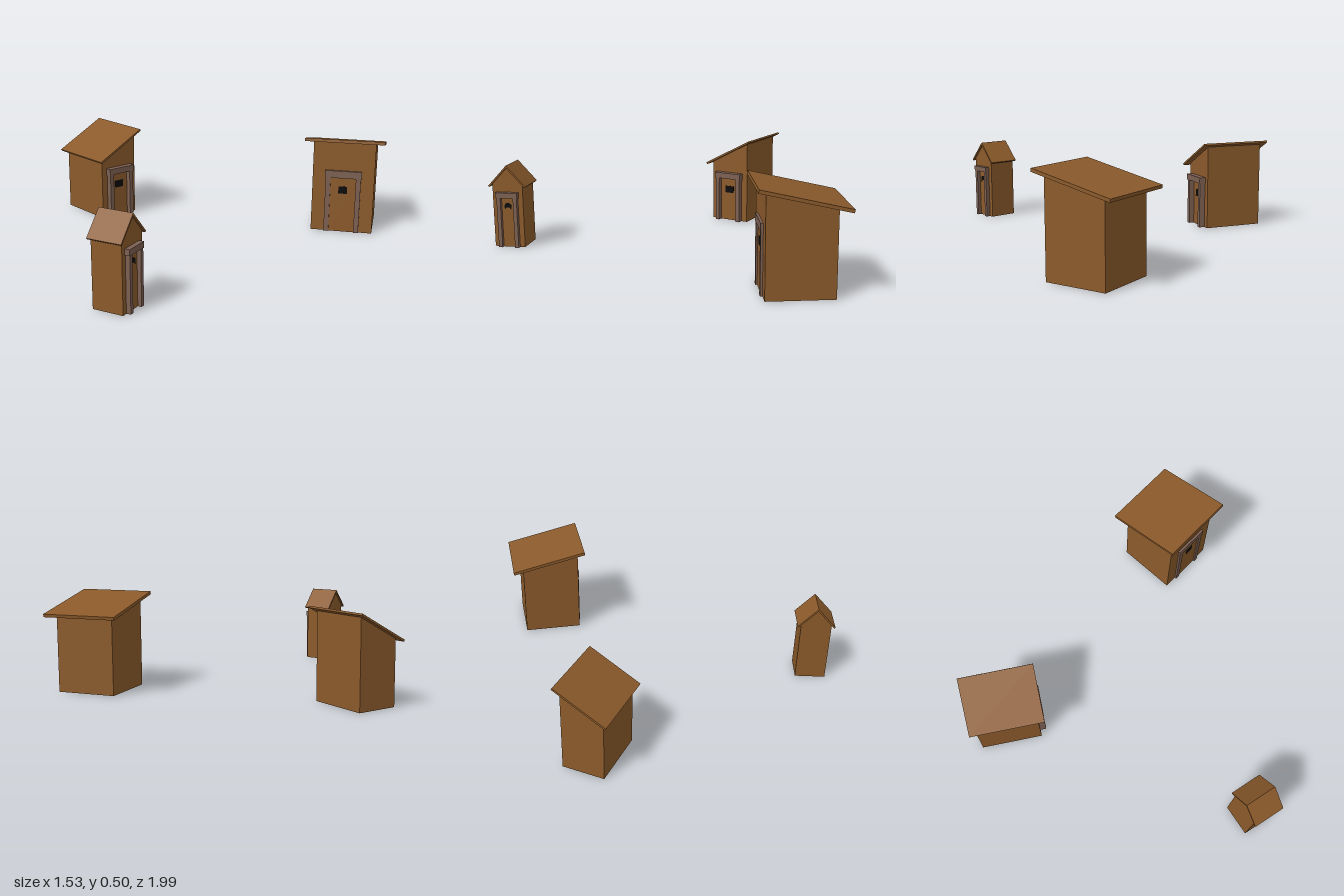
import * as THREE from 'three';

const material = (color) => new THREE.MeshStandardMaterial({ color, flatShading: true });
const wood = material(0x8b5a2b);
const trim = material(0x7d6052);
const dark = material(0x0a0a0a);

function addMesh(parent, name, geometry, mat) {
  const mesh = new THREE.Mesh(geometry, mat);
  mesh.name = name;
  parent.add(mesh);
  return mesh;
}

// Outline in x/y, extruded and centred along z
function slab(points, depth) {
  const shape = new THREE.Shape(points.map(([x, y]) => new THREE.Vector2(x, y)));
  return new THREE.ExtrudeGeometry(shape, { depth, bevelEnabled: false }).translate(0, 0, -depth / 2);
}

// Crescent with its tips pointing down
function crescent(w, h) {
  const s = new THREE.Shape();
  s.moveTo(-w / 2, -h / 2);
  s.lineTo(-w / 2, h * 0.15);
  s.quadraticCurveTo(-w * 0.4, h / 2, 0, h / 2);
  s.quadraticCurveTo(w * 0.4, h / 2, w / 2, h * 0.15);
  s.lineTo(w / 2, -h / 2);
  s.quadraticCurveTo(0, h * 0.25, -w / 2, -h / 2);
  return new THREE.ExtrudeGeometry(s, { depth: 0.004, bevelEnabled: false, curveSegments: 5 }).translate(0, 0, -0.002);
}

// Door, window, two jambs and a lintel on the wall at z = front
function addDoorway(hut, { front, width, height, lintel, jamb, out, window }) {
  const doorway = new THREE.Group();
  doorway.name = 'doorway';
  doorway.position.z = front;
  hut.add(doorway);
  const open = height - lintel;
  const box = (name, w, h, d, x, y, mat) =>
    addMesh(doorway, name, new THREE.BoxGeometry(w, h, d), mat).position.set(x, y, d / 2);
  box('door', width - 2 * jamb, open, 0.003, 0, open / 2, wood);
  for (const side of [-1, 1]) {
    box('doorJamb', jamb, open, out * 0.9, side * (width / 2 - jamb / 2 - 0.004), open / 2, trim);
  }
  box('lintel', width, lintel, out, 0, open + lintel / 2, trim);
  const hole = window.moon ? crescent(window.w, window.h) : new THREE.BoxGeometry(window.w, window.h, 0.004);
  addMesh(doorway, 'window', hole, dark).position.set(0, window.y, 0.003);
}

function createHut({ name, x, z, turn, wall, wallDepth, roof, roofDepth, alongZ, door }) {
  const hut = new THREE.Group();
  hut.name = name;
  hut.position.set(x, 0, z);
  hut.rotation.y = THREE.MathUtils.degToRad(turn);
  const walls = addMesh(hut, 'walls', slab(wall, wallDepth), wood);
  const cover = addMesh(hut, 'roof', slab(roof, roofDepth), wood);
  // Section runs front to back instead of side to side
  if (alongZ) for (const m of [walls, cover]) m.rotation.y = -Math.PI / 2;
  addDoorway(hut, door);
  return hut;
}

export function createModel() {
  const group = new THREE.Group();
  group.name = 'threeHuts';

  group.add(
    // Roof slopes sideways
    createHut({
      name: 'sideSlopeHut', x: -0.578, z: 0.129, turn: 90,
      wall: [[-0.11, 0], [0.11, 0], [0.11, 0.452], [-0.11, 0.335]], wallDepth: 0.32,
      roof: [[-0.133, 0.319], [0.134, 0.462], [0.13, 0.471], [-0.138, 0.328]], roofDepth: 0.385,
      door: { front: 0.16, width: 0.161, height: 0.278, lintel: 0.032, jamb: 0.023, out: 0.034,
        window: { w: 0.053, h: 0.038, y: 0.179 } },
    }),
    // Roof slopes down to the back
    createHut({
      name: 'backSlopeHut', x: 0.485, z: -0.709, turn: 35, alongZ: true,
      wall: [[-0.157, 0], [0.157, 0], [0.157, 0.477], [-0.157, 0.406]], wallDepth: 0.316,
      roof: [[-0.211, 0.394], [0.195, 0.486], [0.192, 0.502], [-0.214, 0.41]], roofDepth: 0.402,
      door: { front: 0.157, width: 0.188, height: 0.33, lintel: 0.038, jamb: 0.025, out: 0.012,
        window: { w: 0.045, h: 0.038, y: 0.227 } },
    }),
    // Small gabled hut
    createHut({
      name: 'gableHut', x: 0.562, z: 0.871, turn: 111,
      wall: [[-0.08, 0], [0.08, 0], [0.08, 0.33], [0, 0.416], [-0.08, 0.33]], wallDepth: 0.15,
      roof: [[-0.093, 0.315], [0, 0.415], [0.093, 0.315], [0.099, 0.321], [0, 0.428], [-0.099, 0.321]],
      roofDepth: 0.168,
      door: { front: 0.075, width: 0.115, height: 0.289, lintel: 0.028, jamb: 0.02, out: 0.024,
        window: { w: 0.036, h: 0.034, y: 0.215, moon: true } },
    }),
  );
  return group;
}
